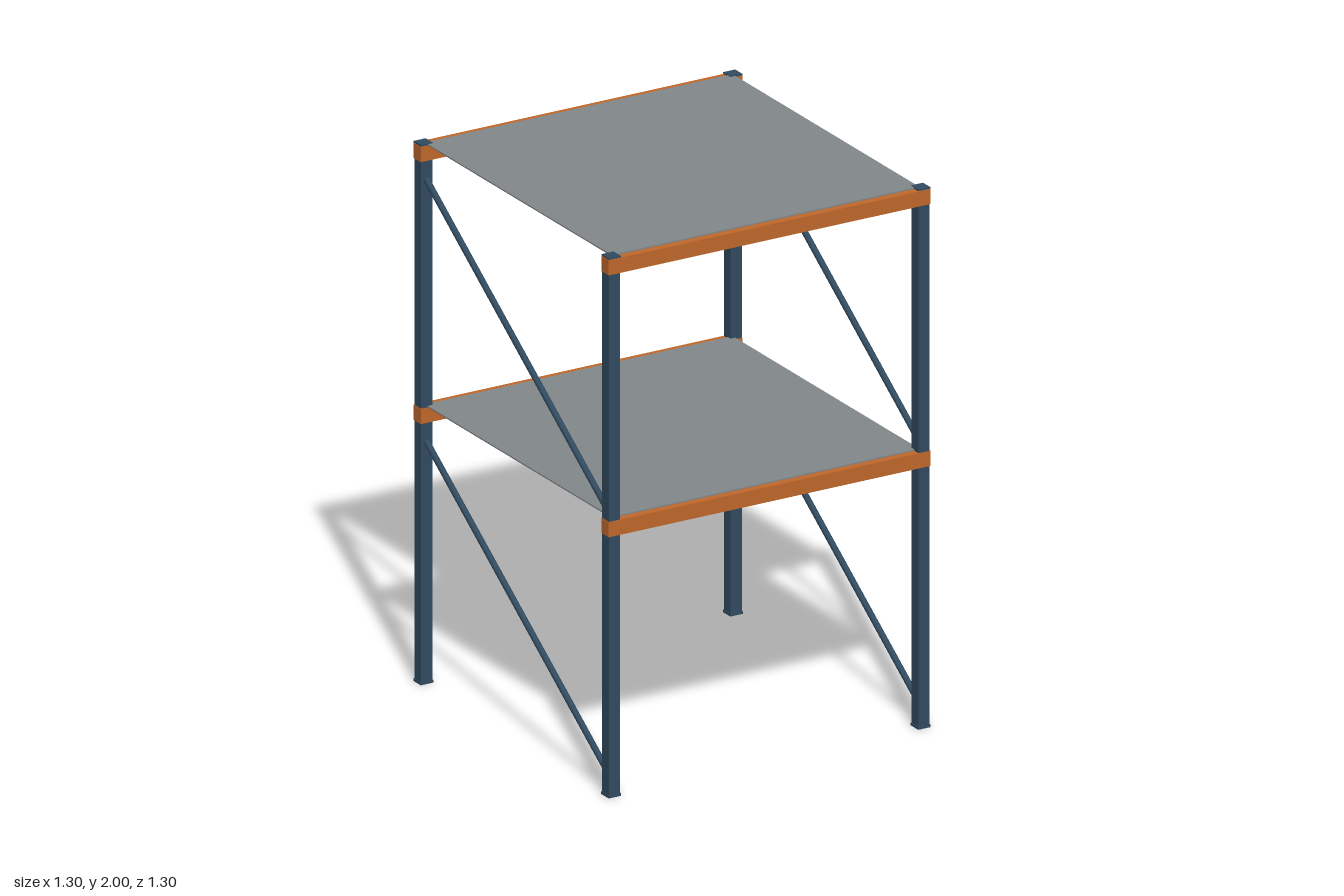
import * as THREE from 'three';

const mat = (name, color) => {
  const m = new THREE.MeshStandardMaterial({ color });
  m.name = name;
  return m;
};

export function createModel() {
  const model = new THREE.Group();
  model.name = 'storageRack';
  const steel = mat('blueSteel', 0x314b60);
  const orange = mat('orangeSteel', 0xc1692c);
  const grey = mat('deckGrey', 0x83888b);
  const C = 0.624; // post centre offset

  const box = (name, material, w, h, d, x, y, z) => {
    const m = new THREE.Mesh(new THREE.BoxGeometry(w, h, d), material);
    m.name = name;
    m.position.set(x, y, z);
    model.add(m);
  };

  // Posts with foot and cap plates
  for (const x of [-C, C]) {
    for (const z of [-C, C]) {
      box('post', steel, 0.045, 1.99, 0.045, x, 0.997, z);
      box('footPlate', steel, 0.05, 0.01, 0.05, x, 0.005, z);
      box('postCap', steel, 0.048, 0.006, 0.048, x, 1.997, z);
    }
  }

  // Two shelf levels: beams, joists and a thin deck
  for (const top of [1.028, 1.998]) {
    for (const z of [-C, C]) {
      box('beam', orange, 1.298, 0.056, 0.049, 0, top - 0.033, z);
    }
    for (const x of [-0.41, 0, 0.41]) {
      box('joist', steel, 0.035, 0.033, 1.2, x, top - 0.0215, 0);
    }
    box('deck', grey, 1.24, 0.005, 1.24, 0, top - 0.0025, 0);
  }

  // Diagonal side braces, rising from front to back
  const up = new THREE.Vector3(0, 1, 0);
  for (const x of [-0.628, 0.628]) {
    for (const y of [0.09, 1.06]) {
      const a = new THREE.Vector3(x, y, 0.595);
      const b = new THREE.Vector3(x, y + 0.81, -0.595);
      const dir = b.clone().sub(a);
      const geo = new THREE.CylinderGeometry(0.0115, 0.0115, dir.length(), 8);
      const brace = new THREE.Mesh(geo, steel);
      brace.name = 'diagonalBrace';
      brace.position.copy(a).add(b).multiplyScalar(0.5);
      brace.quaternion.setFromUnitVectors(up, dir.normalize());
      model.add(brace);
    }
  }
  return model;
}
